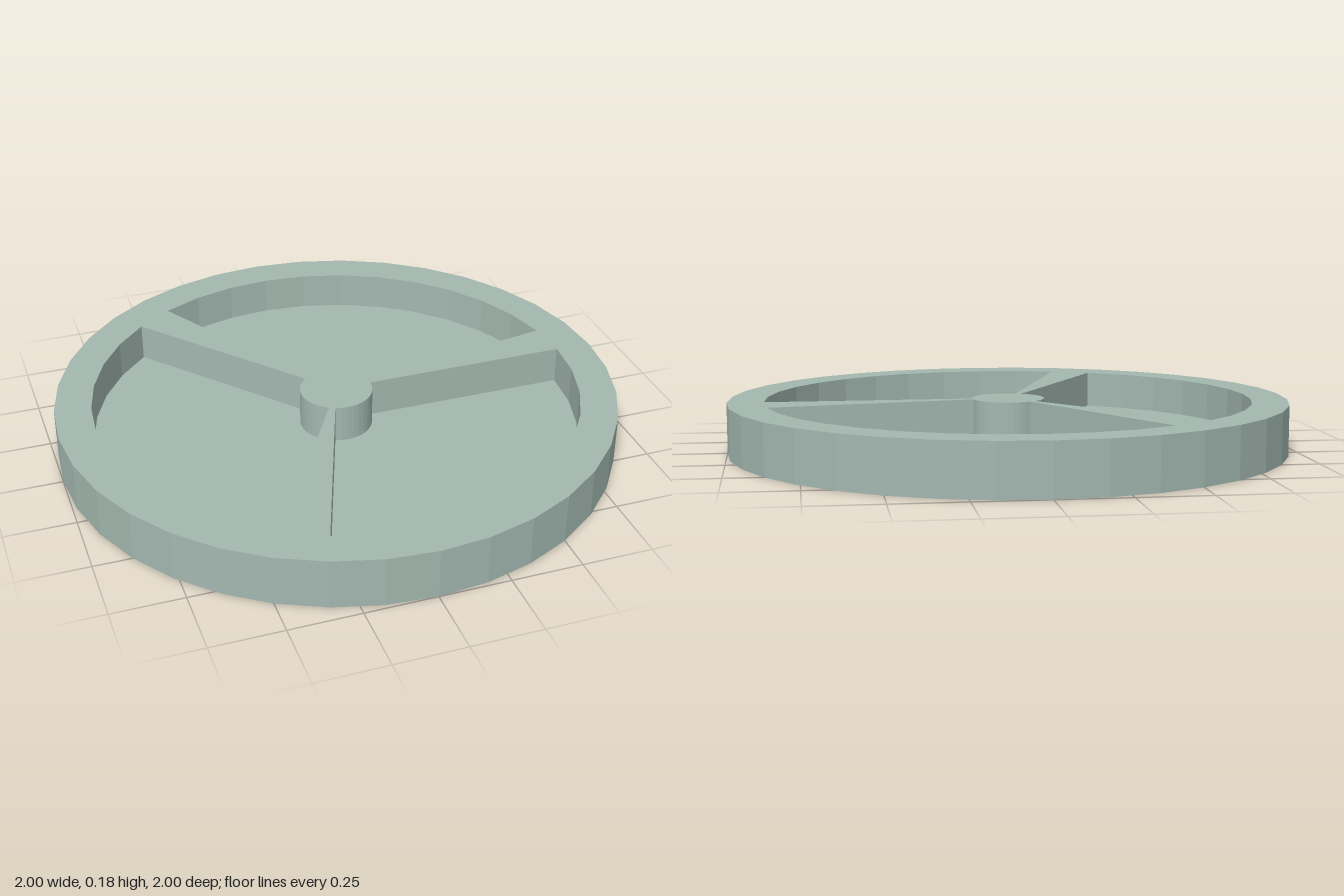
import * as THREE from 'three';

const HEIGHT = 0.18, FLOOR = 0.044;
const RIM = 1, POCKET_OUTER = 0.87, HUB = 0.13;
const STEP = 10; // degrees per facet

// Points along an arc, one per facet, both ends included
function arc(radius, from, to) {
  const count = Math.round(Math.abs(to - from) / STEP);
  return Array.from({ length: count + 1 }, (_, i) => {
    const a = THREE.MathUtils.degToRad(from + ((to - from) * i) / count);
    return new THREE.Vector2(radius * Math.cos(a), radius * Math.sin(a));
  });
}

// Extrude a flat outline upward from y = 0
function slab(shape, depth, material, name) {
  const geometry = new THREE.ExtrudeGeometry(shape, { depth, bevelEnabled: false });
  geometry.rotateX(-Math.PI / 2);
  const mesh = new THREE.Mesh(geometry, material);
  mesh.name = name;
  return mesh;
}

export function createModel() {
  const group = new THREE.Group();
  group.name = 'spokedDisc';
  const grey = new THREE.MeshStandardMaterial({ color: 0xa3b8b0, flatShading: true });
  grey.name = 'sage grey';

  // Three ring sectors separated by tapering spokes
  const pockets = [10, 130, 250].map((start) => [
    ...arc(POCKET_OUTER, start, start + 110),
    ...arc(HUB, start + 110, start),
  ]);

  // Rim, spokes and hub in one piece
  const outline = new THREE.Shape(arc(RIM, 0, 360).slice(0, -1));
  outline.holes = pockets.map((points) => new THREE.Path(points));
  group.add(slab(outline, HEIGHT, grey, 'rimSpokesAndHub'));

  // Recessed floor in each pocket
  pockets.forEach((points, i) => {
    group.add(slab(new THREE.Shape(points), FLOOR, grey, `pocketFloor${i + 1}`));
  });

  return group;
}
